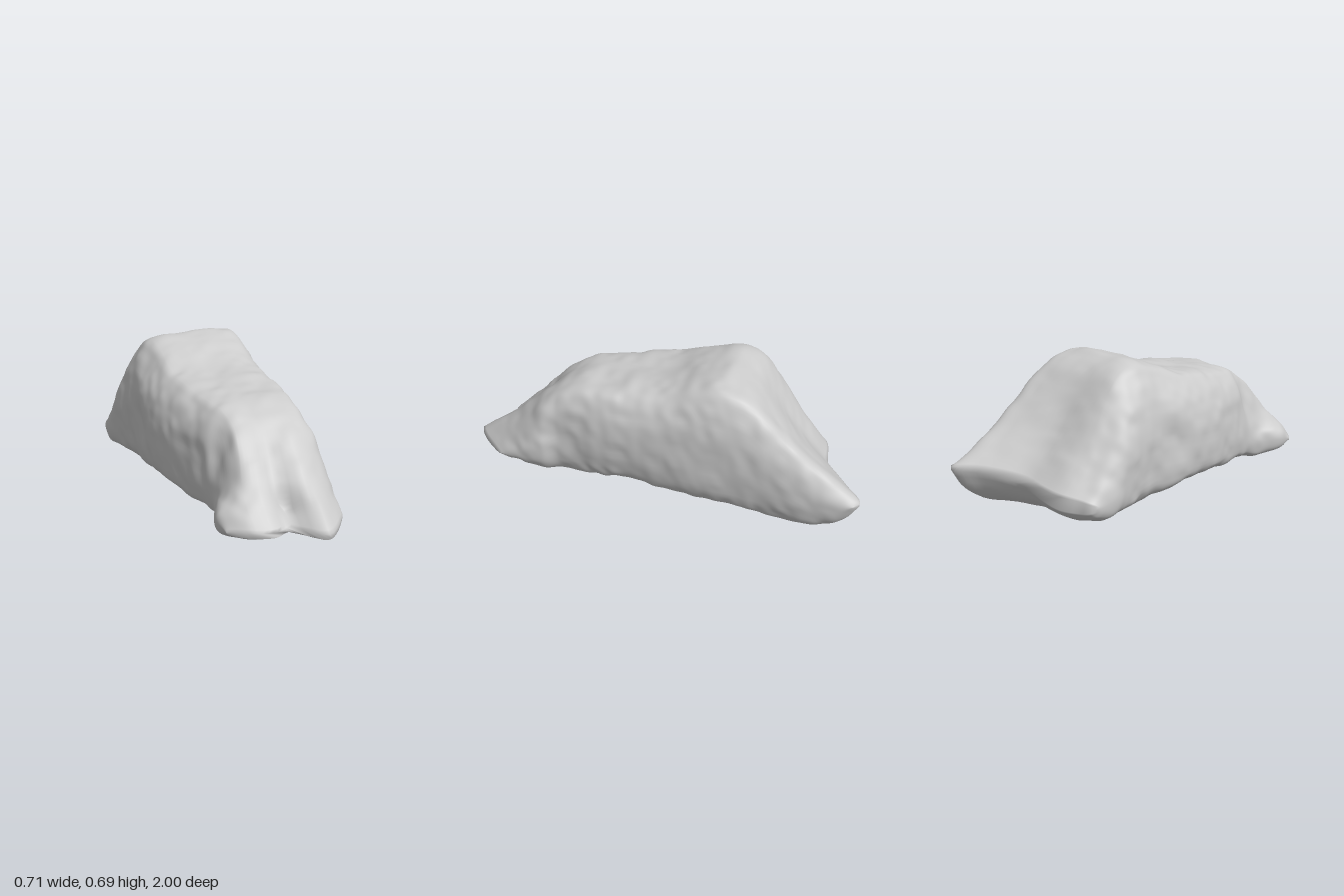
import * as THREE from 'three';

// Smooth cubic interpolation through [position, value] pairs
function along(pts, p) {
  const n = pts.length - 1;
  if (p <= pts[0][0]) return pts[0][1];
  if (p >= pts[n][0]) return pts[n][1];
  let i = 0;
  while (p > pts[i + 1][0]) i++;
  const slope = k => {
    const a = pts[Math.max(k - 1, 0)], b = pts[Math.min(k + 1, n)];
    return (b[1] - a[1]) / (b[0] - a[0]);
  };
  const h = pts[i + 1][0] - pts[i][0], t = (p - pts[i][0]) / h, t2 = t * t, t3 = t2 * t;
  return (2 * t3 - 3 * t2 + 1) * pts[i][1] + (t3 - 2 * t2 + t) * h * slope(i)
    + (3 * t2 - 2 * t3) * pts[i + 1][1] + (t3 - t2) * h * slope(i + 1);
}

// Side profile: ridge line and underside, from back (-1) to front (1)
const TOP = [[-1, .215], [-.9, .29], [-.8, .36], [-.7, .44], [-.6, .53], [-.5, .62], [-.4, .67], [-.3, .685],
  [-.2, .66], [0, .59], [.2, .555], [.4, .53], [.5, .49], [.6, .43], [.7, .34], [.8, .25], [.9, .17], [1, .095]];
const BOTTOM = [[-1, .19], [-.95, .1], [-.87, .03], [-.8, .008], [-.5, .01], [-.2, .03], [0, .05],
  [.2, .05], [.4, .03], [.65, .015], [.9, .04], [1, .07]];
// Top of the low knob at one front corner
const KNOB = [[.42, .5], [.54, .3], [.64, .23], [.8, .21], [.92, .17], [1, .1]];
// Outline seen from above: two sides along the length, two ragged ends across the width
const SIDE_MINUS = [[-1, -.345], [-.85, -.36], [-.5, -.33], [-.2, -.31], [0, -.31], [.2, -.28], [.4, -.22],
  [.52, -.19], [.65, -.21], [.85, -.25], [1, -.24]];
const SIDE_PLUS = [[-1, .33], [-.8, .34], [-.2, .35], [0, .34], [.2, .335], [.5, .305], [.65, .33], [.85, .335], [1, .315]];
const BACK_END = [[-.36, -.64], [-.33, -.69], [-.28, -.72], [-.2, -.77], [-.1, -.79], [0, -.8], [.1, -.86],
  [.2, -.93], [.29, -1], [.34, -.96]];
const FRONT_END = [[-.25, .79], [-.15, .87], [-.05, .9], [.03, .87], [.08, .93], [.14, 1], [.2, .97], [.3, .85], [.34, .78]];

// Four-sided cross-section with worn corners: u from -1 to 1, v from 0 to 1
const SECTION = new THREE.CatmullRomCurve3([
  [-.7, 0], [-.86, .02], [-.96, .1], [-1, .4], [-.97, .62], [-.9, .75], [-.74, .89], [-.6, .965], [-.1, .99],
  [.5, .99], [.8, .94], [.95, .78], [1, .5], [.96, .18], [.84, .02], [.55, 0], [.1, 0], [-.35, 0],
].map(([u, v]) => new THREE.Vector3(u, v, 0)), true, 'centripetal');
const SIDES = 108, RINGS = 130;
const LEFT_EDGE = SIDES * 3 / 18;

// Smooth lattice noise between -1 and 1
function noise(x, y, z) {
  const cell = [x, y, z].map(Math.floor);
  const f = [x, y, z].map((c, i) => THREE.MathUtils.smoothstep(c - cell[i], 0, 1));
  let sum = 0;
  for (let k = 0; k < 8; k++) {
    const corner = [k & 1, (k >> 1) & 1, k >> 2];
    const weight = corner.reduce((w, c, i) => w * (c ? f[i] : 1 - f[i]), 1);
    const [a, b, c] = corner.map((o, i) => o + cell[i]);
    const hash = Math.sin(a * 127.1 + b * 311.7 + c * 74.7) * 43758.5453;
    sum += weight * (2 * (hash - Math.floor(hash)) - 1);
  }
  return sum;
}

function rockGeometry() {
  const position = [], index = [];
  const step = THREE.MathUtils.smoothstep;
  const outline = Array.from({ length: SIDES }, (_, j) => SECTION.getPoint(j / SIDES));
  for (let i = 0; i <= RINGS; i++) {
    const s = -1 + 2 * i / RINGS;
    const x0 = along(SIDE_MINUS, s), x1 = along(SIDE_PLUS, s);
    const fade = Math.min(1, (1 - Math.abs(s)) * 8);
    for (const { x: u, y: v } of outline) {
      let x = (x0 + x1) / 2 + u * (x1 - x0) / 2;
      let low = along(BOTTOM, s), high = along(TOP, s);
      // The back edge sinks towards one corner
      const sink = (1 - step(x, -.3, .25)) * (1 - step(s, -1, -.55));
      low *= 1 - .65 * sink;
      high -= .08 * sink;
      // Step down to the knob
      const knob = (1 - step(x, -.2, -.1)) * step(s, .42, .5);
      high += (along(KNOB, s) - high) * knob;
      // Notch running up from the front edge
      const notch = Math.exp(-(((x - .05) / .03) ** 2)) * step(s, .8, .9) * fade;
      high -= .4 * notch * (high - low);
      let y = low + v * (high - low);
      // Stretch both ends to their ragged edges
      let z = s;
      if (s < -.3) z = -.3 + (s + .3) * (along(BACK_END, x) + .3) / -.7;
      if (s > .5) z = .5 + (s - .5) * (along(FRONT_END, x) - .5) / .5;
      // Weathered surface
      const r = fade * (.008 * noise(7 * x, 7 * y, 7 * z) + .005 * noise(19 * x, 19 * y, 19 * z));
      x += r * u;
      y = Math.max(0, y + r * (2 * v - 1));
      position.push(x, y, z);
    }
  }
  for (let i = 0; i < RINGS; i++) {
    for (let j = 0; j < SIDES; j++) {
      const k = (j + 1) % SIDES;
      const a = i * SIDES + j, b = i * SIDES + k, c = a + SIDES, d = b + SIDES;
      index.push(a, c, b, b, c, d);
    }
  }
  // Close both thin ends with a strip between upper and lower edges
  for (const end of [0, RINGS]) {
    const upper = k => end * SIDES + LEFT_EDGE + k;
    const lower = k => end * SIDES + (LEFT_EDGE - k + SIDES) % SIDES;
    for (let k = 0; k < SIDES / 2; k++) {
      const quad = [lower(k), lower(k + 1), upper(k), upper(k), lower(k + 1), upper(k + 1)];
      index.push(...(end ? quad : quad.reverse()));
    }
  }
  const geometry = new THREE.BufferGeometry();
  geometry.setAttribute('position', new THREE.Float32BufferAttribute(position, 3));
  geometry.setIndex(index);
  geometry.computeVertexNormals();
  return geometry;
}

export function createModel() {
  const group = new THREE.Group();
  const rock = new THREE.Mesh(rockGeometry(), new THREE.MeshStandardMaterial({ color: 0xcccccc }));
  rock.name = 'rock';
  group.add(rock);
  return group;
}
